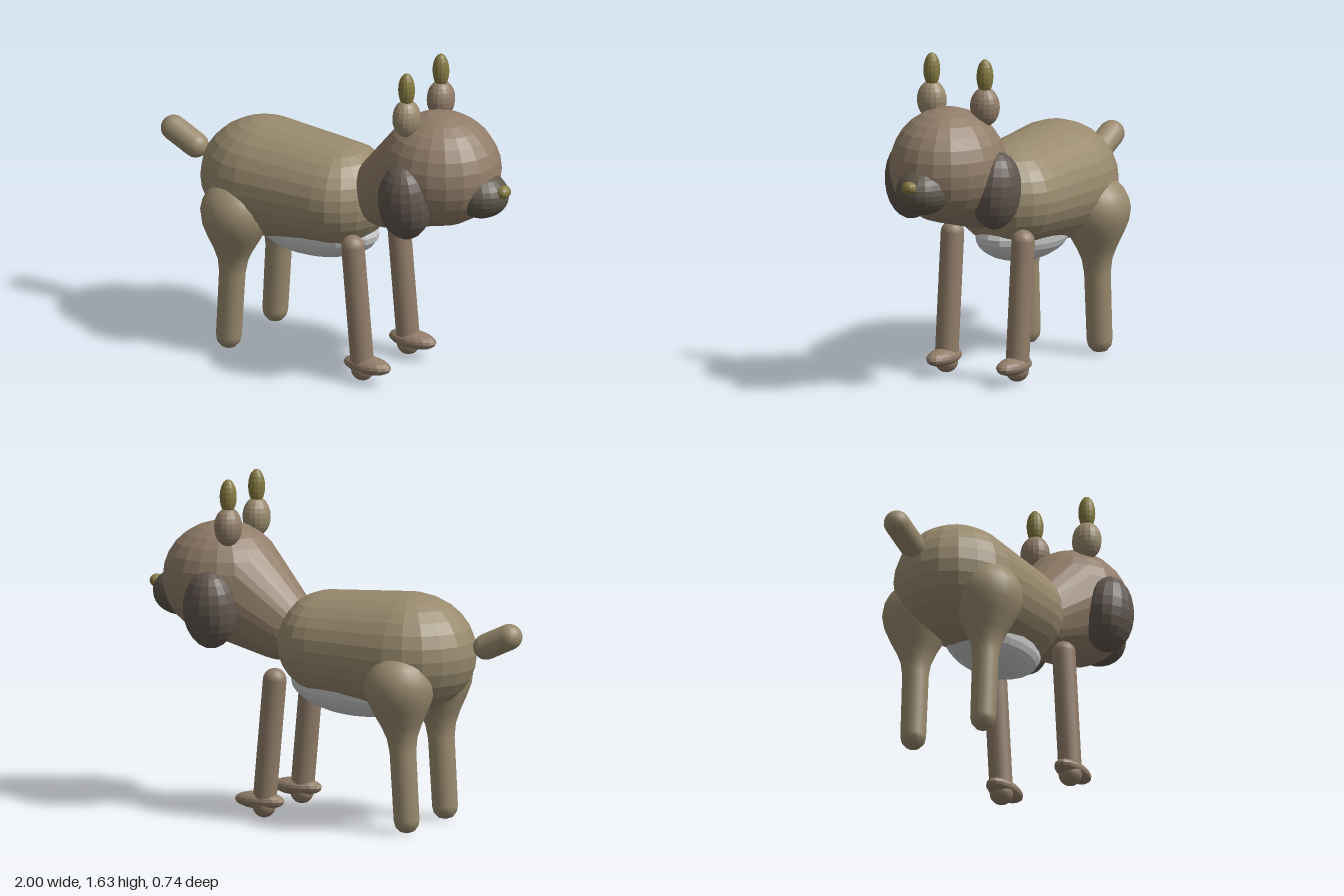
import * as THREE from 'three';
import { ConvexGeometry } from 'three/addons/geometries/ConvexGeometry.js';

const mat = (color, flatShading = true) => new THREE.MeshStandardMaterial({ color, flatShading });
const coat = mat(0x998a6e);
const coatSmooth = mat(0x998a6e, false);
const face = mat(0x917d69);
const faceSmooth = mat(0x917d69, false);
const earDark = mat(0x62574f);
const muzzleDark = mat(0x5e574b);
const hornGold = mat(0x857a42);
const bellyGrey = mat(0xcccccc);

export function createModel() {
  const group = new THREE.Group();

  const add = (name, geometry, material) => {
    const mesh = new THREE.Mesh(geometry, material);
    mesh.name = name;
    group.add(mesh);
    return mesh;
  };

  const ball = (c, r, w = 20, h = 14) =>
    new THREE.SphereGeometry(1, w, h).scale(...r).translate(...c);

  // Tapered skin stretched over two ellipsoids
  const hull = (a, b) => {
    const points = [];
    for (const g of [a, b]) {
      const p = g.attributes.position;
      for (let i = 0; i < p.count; i++) points.push(new THREE.Vector3().fromBufferAttribute(p, i));
    }
    return new ConvexGeometry(points);
  };

  // Round-ended rod between two points
  const rod = (name, from, to, r, material) => {
    const a = new THREE.Vector3(...from), b = new THREE.Vector3(...to);
    const mesh = add(name, new THREE.CapsuleGeometry(r, a.distanceTo(b), 6, 16), material);
    mesh.position.copy(a).lerp(b, 0.5);
    mesh.quaternion.setFromUnitVectors(new THREE.Vector3(0, 1, 0), b.sub(a).normalize());
  };

  // Body, belly and tail
  add('body', hull(
    ball([-0.4, 0.85, 0], [0.33, 0.29, 0.3]),
    ball([0.03, 0.86, 0], [0.25, 0.25, 0.28])), coat);
  const belly = add('belly', ball([0, 0, 0], [0.33, 0.135, 0.18]), bellyGrey);
  belly.position.set(-0.1, 0.65, 0);
  belly.rotation.z = 0.07;
  rod('tail', [-0.937, 0.97, 0], [-0.812, 0.911, 0], 0.063, coatSmooth);

  // Head with neck, muzzle and nose
  add('head', hull(
    ball([0.605, 1.12, 0], [0.3, 0.28, 0.275]),
    ball([0.3, 0.93, 0], [0.18, 0.18, 0.17])), face);
  add('muzzle', ball([0.83, 1.035, 0], [0.145, 0.115, 0.13]), muzzleDark);
  add('nose', ball([0.968, 1.075, 0], [0.032, 0.032, 0.04], 12, 8), hornGold);

  // Hind leg profile: rounded foot, slim shank, swelling thigh
  const legProfile = [
    [0, 0.005], [0.035, 0.015], [0.056, 0.04], [0.062, 0.07], [0.064, 0.4], [0.074, 0.47],
    [0.098, 0.53], [0.134, 0.6], [0.16, 0.66], [0.171, 0.72], [0.163, 0.77], [0.142, 0.815],
    [0.105, 0.855], [0.055, 0.88], [0, 0.888],
  ].map(([x, y]) => new THREE.Vector2(x, y));

  // Paired parts
  for (const s of [1, -1]) {
    const side = s > 0 ? 'Near' : 'Far';
    const hind = add('hindLeg' + side, new THREE.LatheGeometry(legProfile, 24), coatSmooth);
    hind.position.set(-0.49, 0, s * 0.2);
    hind.rotation.z = -0.06;

    rod('frontLeg' + side, [0.285, 0.07, s * 0.197], [0.228, 0.69, s * 0.197], 0.057, faceSmooth);
    add('frontPaw' + side, ball([0.31, 0.095, s * 0.195], [0.131, 0.043, 0.065], 16, 10), face);

    const ear = add('ear' + side, ball([0, 0, 0], [0.135, 0.19, 0.118], 16, 12), earDark);
    ear.position.set(0.555, 1.01, s * 0.24);
    ear.rotation.x = s * 0.08;

    add('hornBase' + side, ball([0.505, 1.403, s * 0.148], [0.067, 0.095, 0.074], 16, 12), s > 0 ? coat : face);
    add('hornTip' + side, ball([0.505, 1.55, s * 0.148], [0.041, 0.085, 0.041], 14, 10), hornGold);
  }

  return group;
}
